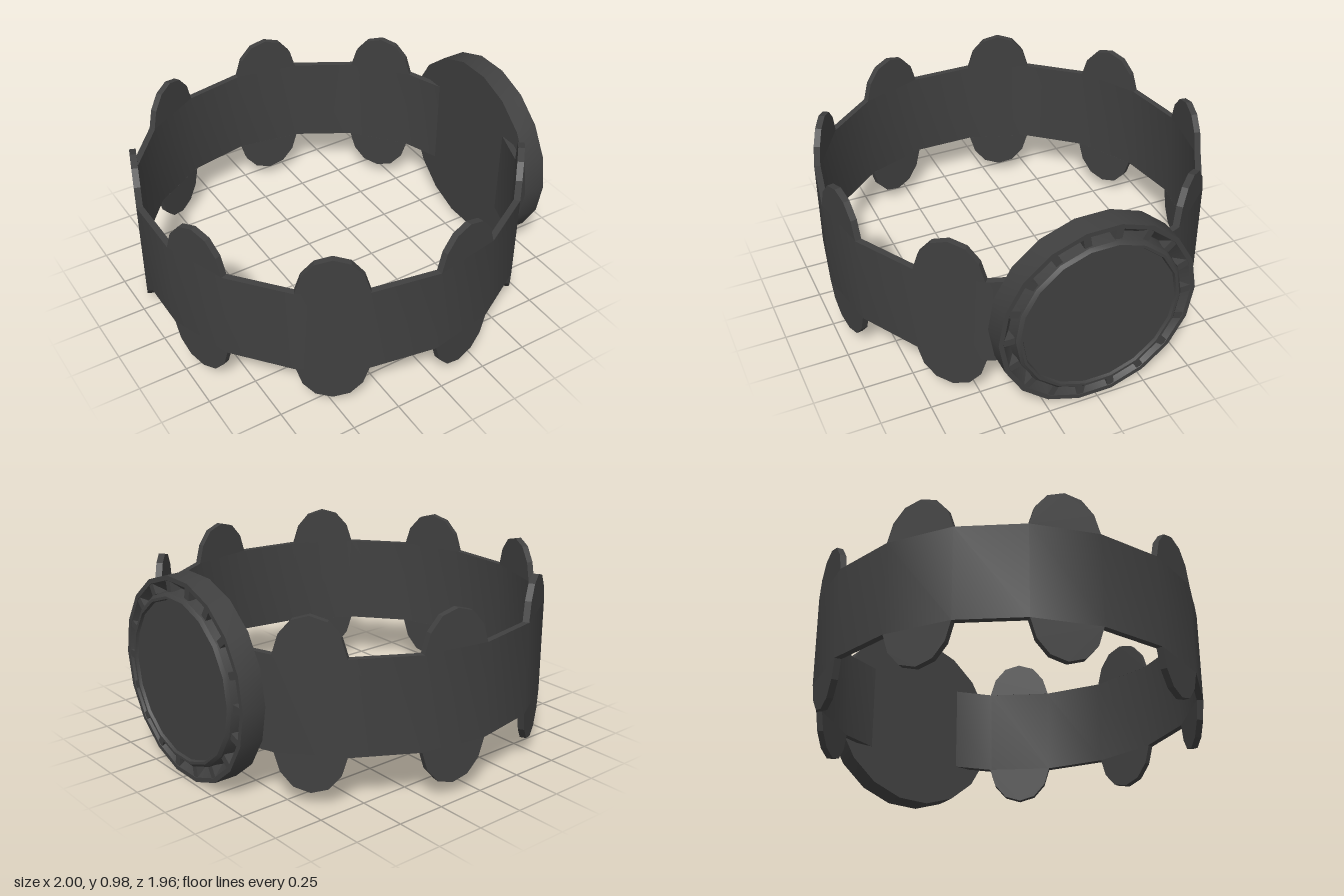
import * as THREE from 'three';
import { toCreasedNormals } from 'three/addons/utils/BufferGeometryUtils.js';

const SIDES = 18;
const MID = 0.495;      // height of the centre line
const HALF = 0.235;     // half height of the band
const R = 0.98;         // band radius at the corners
const THICK = 0.032;

const dark = new THREE.MeshStandardMaterial({ color: 0x404040 });

function mesh(name, geometry) {
  const m = new THREE.Mesh(geometry, dark);
  m.name = name;
  return m;
}

function lathe(profile, crease) {
  const points = profile.map(([r, h]) => new THREE.Vector2(r, h));
  return toCreasedNormals(new THREE.LatheGeometry(points, SIDES), crease);
}

// Rounded tab that rises from the edge of one flat of the band
function scallopGeometry() {
  const w = 0.17;
  const shape = new THREE.Shape([
    [-1, 0], [1, 0], [0.83, 0.095], [0.48, 0.165], [0, 0.19], [-0.48, 0.165], [-0.83, 0.095],
  ].map(([u, h]) => new THREE.Vector2(u * w, HALF + h)));
  const g = new THREE.ExtrudeGeometry(shape, { depth: THICK, bevelEnabled: false });
  g.translate(0, 0, R * Math.cos(Math.PI / SIDES) - THICK);
  return g;
}

function createBand() {
  const band = new THREE.Group();
  band.name = 'band';
  band.position.set(-0.033, MID, 0);

  const inner = R - THICK;
  band.add(mesh('bandRing', lathe(
    [[inner, -HALF], [R, -HALF], [R, HALF], [inner, HALF], [inner, -HALF]], 0.6)));

  // Tabs on every other flat, mirrored front to back, above and below
  const tab = scallopGeometry();
  for (const deg of [-70, -30, 10, 50]) {
    for (const turn of [deg, 180 - deg]) {
      for (const flip of [0, Math.PI]) {
        const s = mesh(flip ? 'lowerScallop' : 'upperScallop', tab);
        s.rotation.set(0, THREE.MathUtils.degToRad(turn), flip);
        band.add(s);
      }
    }
  }
  return band;
}

function createCase() {
  const dial = new THREE.Group();
  dial.name = 'dialCase';
  dial.position.y = MID;
  dial.rotation.z = -Math.PI / 2; // axis points to +x

  // Back, rim and sloping groove
  dial.add(mesh('caseBody', lathe([
    [0, 0.86], [0.5, 0.86], [0.5, 0.98], [0.477, 0.98], [0.43, 0.92], [0.4, 0.92],
  ], 0.5)));

  // Raised lip around a slightly recessed face
  dial.add(mesh('bezelLip', lathe([
    [0.43, 0.92], [0.42, 0.985], [0.405, 1.0], [0.392, 1.0], [0.386, 0.985],
  ], 0.5)));
  const face = mesh('dialFace', new THREE.CircleGeometry(0.39, SIDES));
  face.rotation.set(-Math.PI / 2, 0, Math.PI / 2);
  face.position.y = 0.986;
  dial.add(face);

  // Small teeth bridging the groove at each corner
  const tooth = new THREE.BoxGeometry(0.036, 0.06, 0.062);
  for (let i = 0; i < SIDES; i++) {
    const a = (i / SIDES) * Math.PI * 2;
    const t = mesh('bezelTooth', tooth);
    t.position.set(Math.sin(a) * 0.452, 0.948, Math.cos(a) * 0.452);
    t.rotation.y = a;
    dial.add(t);
  }
  return dial;
}

export function createModel() {
  const model = new THREE.Group();
  model.name = 'wristWatch';
  model.add(createBand(), createCase());
  return model;
}
